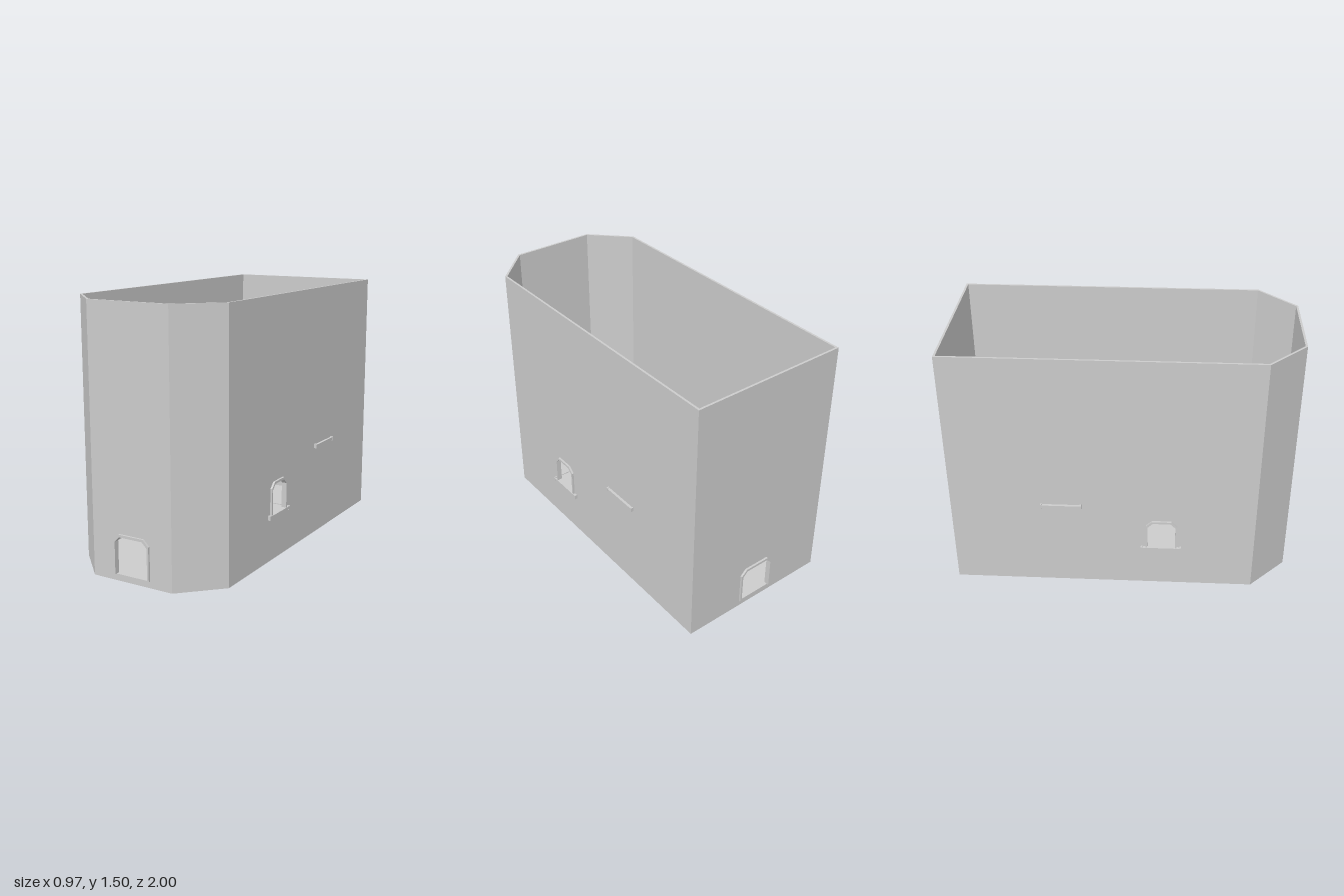
import * as THREE from 'three';

const mat = new THREE.MeshStandardMaterial({ color: 0xcccccc, flatShading: true });
const X = 0.47, Z = 0.988, H = 1.5, T = 0.012;   // half width, half length, height, wall thickness
const CX = 0.254, CZ = 0.775;                    // where the front chamfers start
const P = pts => pts.map(([x, y]) => new THREE.Vector2(x, y));

function add(parent, name, geometry) {
  const mesh = new THREE.Mesh(geometry, mat);
  mesh.name = name;
  parent.add(mesh);
  return mesh;
}

// Extrudes a shape along z from near to far
function slab(shape, near, far) {
  return new THREE.ExtrudeGeometry(shape, { depth: far - near, bevelEnabled: false }).translate(0, 0, near);
}

// Extrudes a plan outline given as [x, z] upwards
function prism(plan, y0, y1) {
  const shape = new THREE.Shape(P(plan.map(([x, z]) => [x, -z])));
  return slab(shape, y0, y1).rotateX(-Math.PI / 2);
}

// Opening outline with two clipped top corners
function arch(u, half, y0, y1, c) {
  return [[u - half, y0], [u + half, y0], [u + half, y1 - c], [u + half - c, y1], [u - half + c, y1], [u - half, y1 - c]];
}

// Wall panel with one opening
function wallShape(u0, u1, opening) {
  const shape = new THREE.Shape(P([[u0, 0], [u1, 0], [u1, H], [u0, H]]));
  shape.holes.push(new THREE.Path(P(opening)));
  return shape;
}

// Frame round an opening, open at the bottom
function frameShape(u, half, y0, y1, t, c) {
  const o = arch(u, half, y0, y1, c);
  const i = arch(u, half - t, y0, y1 - t * 1.3, c - t * 0.5);
  return new THREE.Shape(P([o[1], o[2], o[3], o[4], o[5], o[0], i[0], i[5], i[4], i[3], i[2], i[1]]));
}

export function createModel() {
  const model = new THREE.Group();
  model.name = 'openBox';

  // Floor
  add(model, 'floor', prism(
    [[-X, -Z], [X, -Z], [X, CZ], [CX, Z], [-CX, Z], [-X, CZ]], 0, T));

  // Front and back walls with doorways
  for (const [name, half, turn] of [['front', CX, 0], ['back', X, Math.PI]]) {
    const side = new THREE.Group();
    side.name = name + 'Side';
    side.rotation.y = turn;
    add(side, name + 'Wall', slab(wallShape(-half, half, arch(0, 0.11, 0.037, 0.258, 0.031)), Z - T, Z));
    add(side, name + 'DoorFrame', slab(frameShape(0, 0.115, 0.037, 0.265, 0.011, 0.036), 0.968, 1));
    model.add(side);
  }

  // Side walls with windows, and the chamfered front corners
  for (const [name, s] of [['left', 1], ['right', -1]]) {
    const side = new THREE.Group();
    side.name = name + 'Side';
    side.rotation.y = s * Math.PI / 2;
    const u = -s * 0.234;
    const ends = [-s * CZ, s * Z].sort((a, b) => a - b);
    add(side, name + 'Wall', slab(wallShape(...ends, arch(u, 0.086, 0.262, 0.455, 0.029)), X - T, X));
    add(side, name + 'WindowFrame', slab(frameShape(u, 0.091, 0.262, 0.46, 0.01, 0.034), 0.452, 0.482));
    model.add(side);
    add(model, name + 'FrontCorner', prism(
      [[s * CX, Z], [s * X, CZ], [s * (X - T), CZ - 0.005], [s * (CX - 0.005), Z - T]], 0, H));
  }

  // Shelves that run through both side walls, with a thin lip along each edge
  for (const [name, y, z] of [['lowerShelf', 0.262, 0.233], ['upperShelf', 0.55, -0.347]]) {
    const shelf = new THREE.Group();
    shelf.name = name;
    shelf.position.set(0, y, z);
    add(shelf, name + 'Board', new THREE.BoxGeometry(0.97, 0.017, 0.23));
    for (const s of [1, -1]) {
      add(shelf, name + 'Lip', new THREE.BoxGeometry(0.974, 0.026, 0.009)).position.z = s * 0.1135;
    }
    model.add(shelf);
  }
  return model;
}
